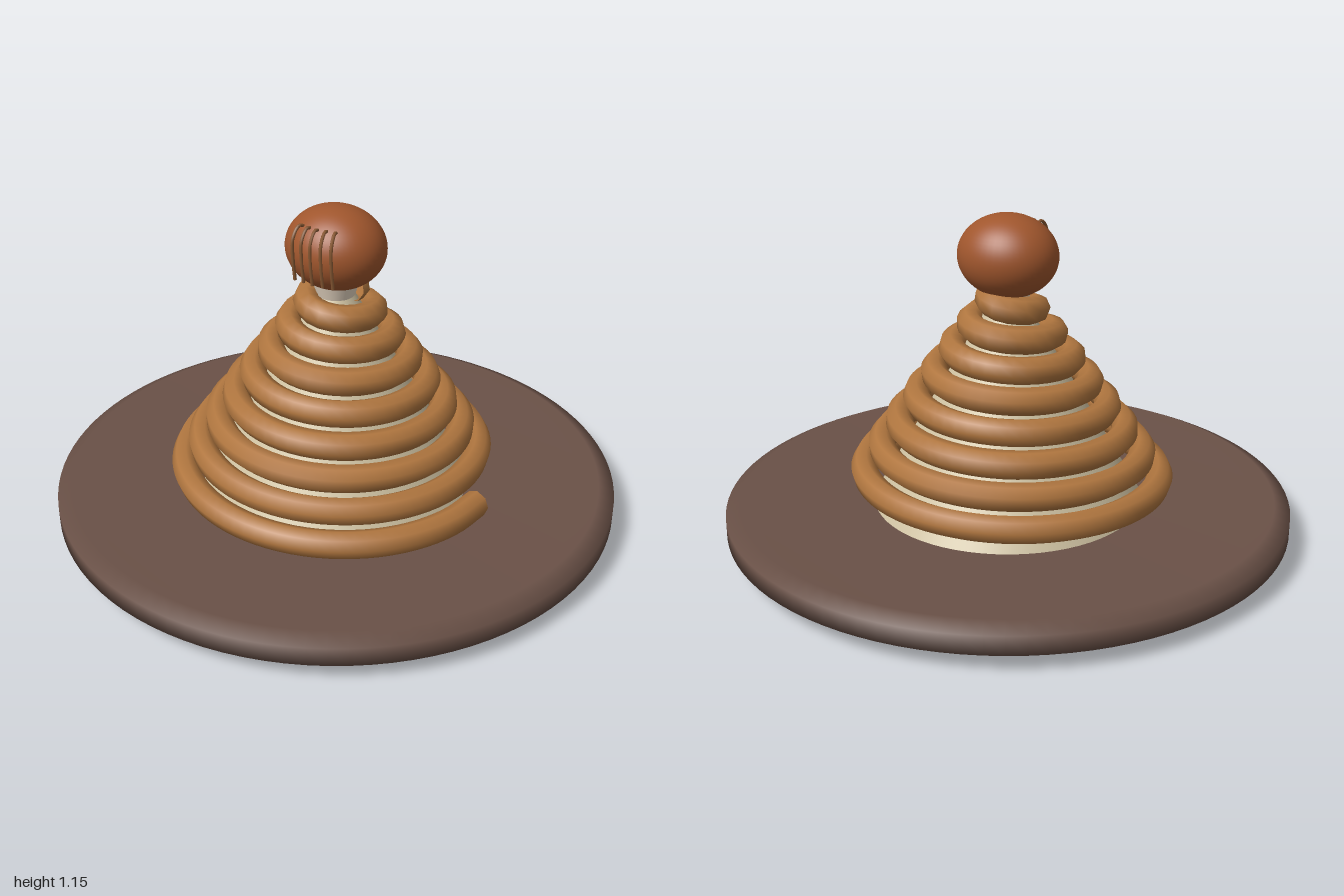
import * as THREE from 'three';

const mat = (name, color, side = THREE.FrontSide) => {
  const m = new THREE.MeshStandardMaterial({ color, side });
  m.name = name;
  return m;
};

export function createModel() {
  const group = new THREE.Group();
  const plateBrown = mat('plate brown', 0x6a5147);
  const cream = mat('cream', 0xcfc2a2);
  const pale = mat('pale cream', 0xe8d8c4);
  const caramel = mat('caramel', 0xb0763f, THREE.DoubleSide);
  const sienna = mat('sienna', 0xa0562d);
  const strandBrown = mat('strand brown', 0x8a5a34);

  const add = (name, geometry, material) => {
    const mesh = new THREE.Mesh(geometry, material);
    mesh.name = name;
    group.add(mesh);
    return mesh;
  };
  const v = (x, y, z) => new THREE.Vector3(x, y, z);

  // Shallow dish with a sloping underside and a raised soft rim
  const profile = [[0, 0], [0.7, 0], [1, 0.06], [1, 0.125], [0.945, 0.15],
    [0.89, 0.123], [0, 0.118]].map(([x, y]) => new THREE.Vector2(x, y));
  add('plate', new THREE.LatheGeometry(profile, 96), plateBrown);

  // Tapered core under the coil, and the short neck below the ball
  const core = add('core', new THREE.CylinderGeometry(0.05, 0.485, 0.75, 64), cream);
  core.position.y = 0.485;
  const neck = add('neck', new THREE.CylinderGeometry(0.085, 0.06, 0.08, 32), pale);
  neck.position.y = 0.855;

  // Eight-turn coil rising from +x towards the front
  const turns = 8;
  const points = [];
  for (let i = 0; i <= turns * 24; i++) {
    const t = i / 24, a = t * Math.PI * 2, r = 0.567 - 0.063 * t;
    points.push(v(r * Math.cos(a), 0.174 + 0.0865 * t, r * Math.sin(a)));
  }
  const spiral = new THREE.CatmullRomCurve3(points);
  add('coil', new THREE.TubeGeometry(spiral, 400, 0.048, 8), caramel);

  // Slightly flattened ball on top
  const ball = add('ball', new THREE.SphereGeometry(1, 48, 32), sienna);
  ball.scale.set(0.178, 0.145, 0.158);
  ball.position.y = 1.005;

  // Thin strands draped over the front of the ball
  for (let i = -2; i <= 2; i++) {
    const x = i * 0.037, back = Math.abs(i) * 0.005;
    const path = new THREE.CatmullRomCurve3([
      v(x * 0.8, 1.095, 0.1 - back), v(x * 0.92, 1.107, 0.13 - back),
      v(x, 1.07, 0.16 - back), v(x, 1.0, 0.161 - back), v(x, 0.92, 0.15 - back),
    ]);
    add('strand', new THREE.TubeGeometry(path, 24, 0.006, 6), strandBrown);
  }
  return group;
}
